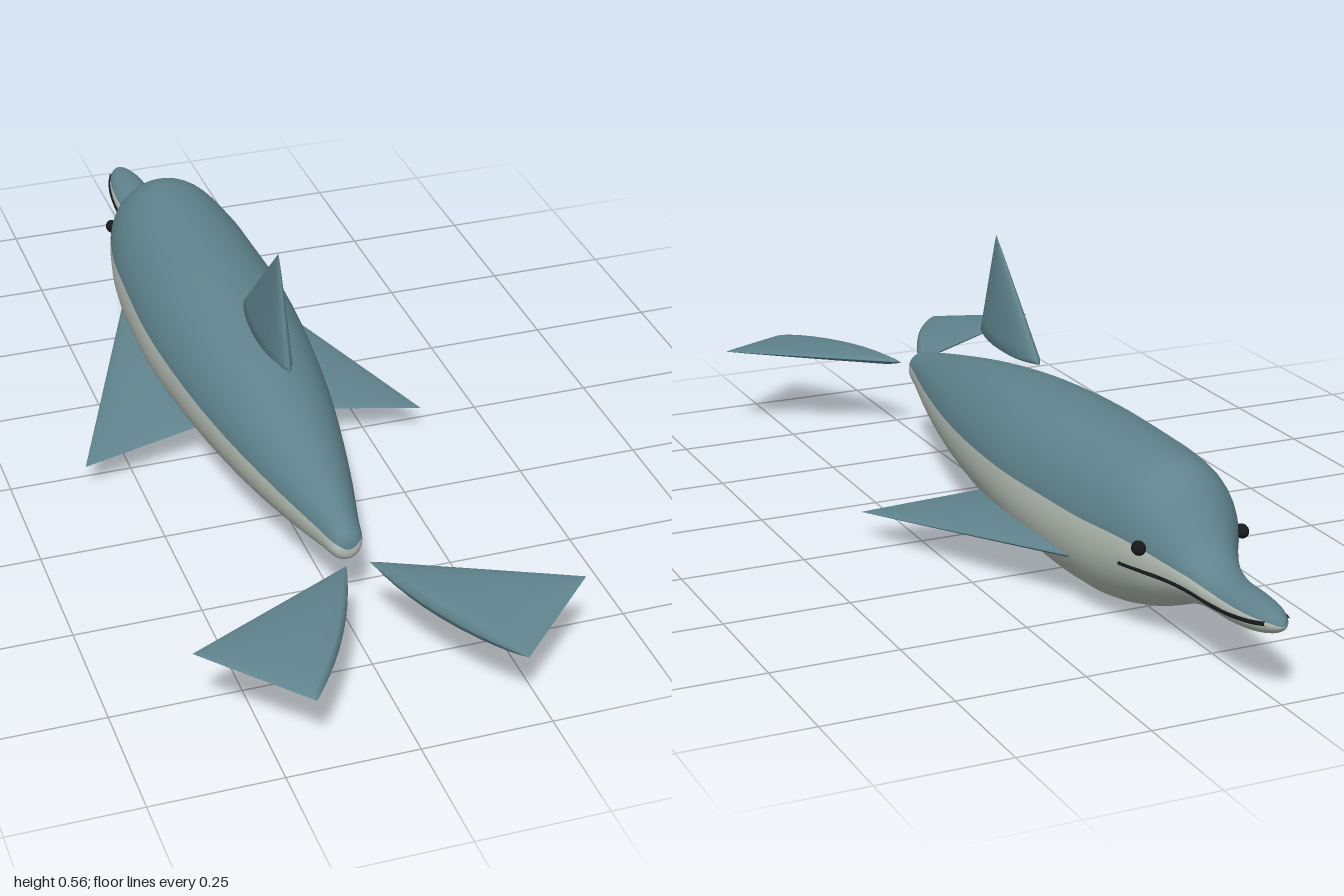
import * as THREE from 'three';

const V = (x, y, z) => new THREE.Vector3(x, y, z);

// Body stations: z, top, bottom, half width, height of the colour seam
const STATIONS = [
  [0.615, 0.168, 0.162, 0.003, 0.166],
  [0.612, 0.185, 0.148, 0.018, 0.174],
  [0.6, 0.202, 0.136, 0.03, 0.18],
  [0.55, 0.216, 0.122, 0.042, 0.181],
  [0.4, 0.25, 0.085, 0.079, 0.183],
  [0.2, 0.288, 0.048, 0.119, 0.186],
  [0, 0.313, 0.024, 0.146, 0.19],
  [-0.2, 0.324, 0.008, 0.161, 0.196],
  [-0.4, 0.327, 0.003, 0.156, 0.2],
  [-0.5, 0.327, 0.013, 0.147, 0.2],
  [-0.6, 0.32, 0.04, 0.125, 0.198],
  [-0.65, 0.297, 0.06, 0.106, 0.19],
  [-0.7, 0.245, 0.081, 0.077, 0.172],
  [-0.75, 0.194, 0.095, 0.056, 0.158],
  [-0.8, 0.172, 0.102, 0.048, 0.151],
  [-0.88, 0.17, 0.106, 0.044, 0.15],
  [-0.94, 0.168, 0.115, 0.035, 0.15],
  [-0.98, 0.161, 0.128, 0.02, 0.149],
  [-0.995, 0.153, 0.138, 0.009, 0.147],
  [-1, 0.146, 0.144, 0.001, 0.145],
];
const heights = new THREE.CatmullRomCurve3(STATIONS.map((s) => V(s[1], s[2], s[0])));
const widths = new THREE.CatmullRomCurve3(STATIONS.map((s) => V(s[3], s[4], s[0])));

function section(t) {
  const a = heights.getPoint(t), b = widths.getPoint(t);
  return { z: a.z, yc: (a.x + a.y) / 2, h: Math.max((a.x - a.y) / 2, 0.0005), w: Math.max(b.x, 0.0005), seam: b.y };
}

// x of the skin at a given height and z
function skinX(y, z) {
  let lo = 0, hi = 1;
  for (let i = 0; i < 30; i++) {
    const m = (lo + hi) / 2;
    if (heights.getPoint(m).z > z) lo = m; else hi = m;
  }
  const s = section(lo);
  return s.w * Math.sqrt(Math.max(0, 1 - ((y - s.yc) / s.h) ** 2));
}

// Elliptical loft; the first half of each ring is the back, the second the belly
function bodyGeometry() {
  const half = 20, n = half * 2, rings = (STATIONS.length - 1) * 4;
  const pos = [], back = [], belly = [];
  for (let i = 0; i <= rings; i++) {
    const s = section(i / rings);
    const a = Math.asin(THREE.MathUtils.clamp((s.seam - s.yc) / s.h, -0.9, 0.9));
    for (let j = 0; j < n; j++) {
      const th = j < half
        ? a + (Math.PI - 2 * a) * (j / half)
        : Math.PI - a + (Math.PI + 2 * a) * ((j - half) / half);
      pos.push(s.w * Math.cos(th), s.yc + s.h * Math.sin(th), s.z);
      if (i === rings) continue;
      const p = i * n + j, p1 = i * n + (j + 1) % n;
      (j < half ? back : belly).push(p, p + n, p1, p1, p + n, p1 + n);
    }
  }
  const g = new THREE.BufferGeometry();
  g.setAttribute('position', new THREE.Float32BufferAttribute(pos, 3));
  g.setIndex([...back, ...belly]);
  g.addGroup(0, back.length, 0);
  g.addGroup(back.length, belly.length, 1);
  g.computeVertexNormals();
  return g;
}

// Lens-section fin from the root chord a-b, tapering to a point at tip
function finGeometry(a, b, tip, thick, bulge) {
  const chord = b.clone().sub(a);
  const normal = chord.clone().cross(tip.clone().sub(a)).normalize();
  const span = normal.clone().cross(chord).normalize();
  const N = 14, pos = [], index = [];
  const rows = [[0, 0], [0.01, 0.6], [0.04, 1]];
  for (let i = 1; i <= 10; i++) rows.push([0.04 + 0.096 * i, (1 - i / 10) ** 0.85]);
  const stride = 2 * (N + 1);
  rows.forEach(([s, k], r) => {
    for (let side = 0; side < 2; side++) {
      for (let j = 0; j <= N; j++) {
        const phi = Math.PI * (side + j / N), sn = Math.sin(phi);
        const p = a.clone().addScaledVector(chord, (1 - Math.cos(phi)) / 2)
          .addScaledVector(span, -bulge * sn * sn)
          .lerp(tip, s)
          .addScaledVector(normal, thick * k * sn);
        pos.push(p.x, p.y, p.z);
        if (j === N || r === rows.length - 1) continue;
        const q = r * stride + side * (N + 1) + j;
        index.push(q, q + 1, q + stride, q + 1, q + 1 + stride, q + stride);
      }
    }
  });
  const g = new THREE.BufferGeometry();
  g.setAttribute('position', new THREE.Float32BufferAttribute(pos, 3));
  g.setIndex(index);
  g.computeVertexNormals();
  return g;
}

export function createModel() {
  const model = new THREE.Group();
  model.name = 'dolphin';
  const material = (name, color) => {
    const m = new THREE.MeshStandardMaterial({ color });
    m.name = name;
    return m;
  };
  const skin = material('blueGreySkin', 0x5f838d);
  const pale = material('paleBelly', 0xb9c2b8);
  const dark = material('darkDetail', 0x17191c);

  const add = (name, geometry, mat) => {
    const mesh = new THREE.Mesh(geometry, mat);
    mesh.name = name;
    model.add(mesh);
    return mesh;
  };

  add('body', bodyGeometry(), [skin, pale]);
  add('dorsalFin', finGeometry(V(0, 0.342, -0.02), V(0, 0.342, 0.265), V(0, 0.562, 0.19), 0.024, 0.012), skin);

  for (const [side, s] of [['left', 1], ['right', -1]]) {
    add(side + 'Flipper', finGeometry(V(s * 0.11, 0.115, -0.525), V(s * 0.11, 0.085, 0.015),
      V(s * 0.357, 0.062, 0.055), 0.018, 0), skin);
    add(side + 'Fluke', finGeometry(V(s * 0.022, 0.166, 0.66), V(s * 0.195, 0.158, 1),
      V(s * 0.37, 0.185, 0.845), 0.018, 0.02), skin);

    const eye = add(side + 'Eye', new THREE.SphereGeometry(0.016, 16, 12), dark);
    eye.position.set(s * (skinX(0.19, -0.662) + 0.006), 0.19, -0.662);
    eye.scale.set(0.8, 0.85, 1);

    // Mouth line laid on the skin
    const points = [[-0.61, 0.146], [-0.66, 0.143], [-0.71, 0.137], [-0.76, 0.131], [-0.81, 0.129],
      [-0.86, 0.132], [-0.91, 0.137], [-0.95, 0.142], [-0.975, 0.146]]
      .map(([z, y]) => V(s * skinX(y, z), y, z));
    add(side + 'Mouth', new THREE.TubeGeometry(new THREE.CatmullRomCurve3(points), 40, 0.004, 6), dark);
  }
  return model;
}
